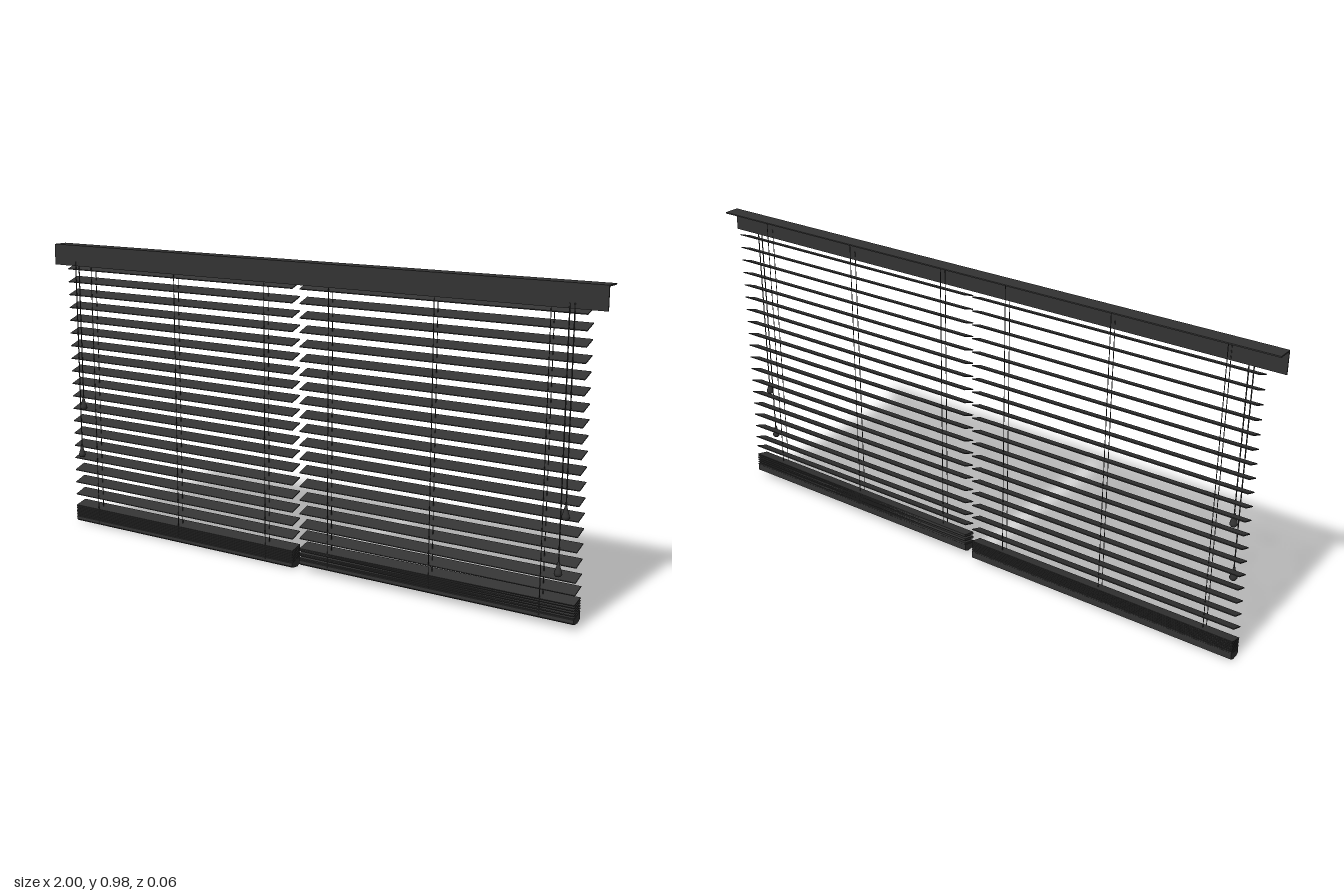
import * as THREE from 'three';

const mat = new THREE.MeshStandardMaterial({ color: 0x333333 });

function add(parent, name, geo, x = 0, y = 0, z = 0) {
  const mesh = new THREE.Mesh(geo, mat);
  mesh.name = name;
  mesh.position.set(x, y, z);
  parent.add(mesh);
  return mesh;
}

function cord(parent, name, x, z, bottom, top, r) {
  const h = top - bottom;
  add(parent, name, new THREE.CylinderGeometry(r, r, h, 6), x, bottom + h / 2, z);
}

export function createModel() {
  const model = new THREE.Group();
  model.name = 'doubleVenetianBlind';

  // L-shaped head rail: front valance and top board
  const rail = new THREE.Group();
  rail.name = 'headRail';
  add(rail, 'valance', new THREE.BoxGeometry(2, 0.07, 0.004), 0, 0.945, 0.018);
  add(rail, 'topBoard', new THREE.BoxGeometry(2, 0.004, 0.052), 0, 0.978, -0.006);
  model.add(rail);

  const width = 0.93, slatGeo = new THREE.BoxGeometry(width, 0.003, 0.046);
  const slatZ = -0.006, slatTilt = 0.34;

  // Bottom rail section with bevelled underside, extruded along x
  const section = new THREE.Shape([
    [-0.017, 0.007], [-0.012, 0.002], [0.012, 0], [0.028, 0.008], [0.028, 0.03], [-0.017, 0.018],
  ].map(([z, y]) => new THREE.Vector2(z, y)));
  const railGeo = new THREE.ExtrudeGeometry(section, { depth: width, bevelEnabled: false });
  railGeo.translate(0, 0, -width / 2).rotateY(Math.PI / 2);

  // Bell-shaped pull tassel
  const tasselGeo = new THREE.LatheGeometry([
    [0, -0.021], [0.008, -0.02], [0.012, -0.014], [0.011, -0.008], [0.006, 0.008], [0.003, 0.021], [0, 0.022],
  ].map(([r, y]) => new THREE.Vector2(r, y)), 14);

  const halves = [
    { name: 'rightBlind', x: -0.48, lift: 0, skew: 0, pulls: [[-0.906, 0.262], [-0.891, 0.434]] },
    { name: 'leftBlind', x: 0.477, lift: 0.016, skew: 0.006, pulls: [[0.906, 0.342], [0.891, 0.175]] },
  ];
  for (const { name, x, lift, skew, pulls } of halves) {
    const blind = new THREE.Group();
    blind.name = name;

    // Hanging slats, lower edge to the front
    for (let i = 0; i < 19; i++) {
      const y = 0.905 - i * 0.0444 + (i === 18 ? lift * 0.45 : 0);
      add(blind, 'slat', slatGeo, x, y, slatZ).rotation.x = slatTilt;
    }

    // Slats gathered on the bottom rail, some resting slightly askew
    for (let i = 0; i < 8; i++) {
      const slat = add(blind, 'stackedSlat', slatGeo, x, 0.027 + lift + i * 0.0052, slatZ);
      slat.rotation.set(0.24, 0, skew * Math.sin(i * 2.1));
    }
    add(blind, 'bottomRail', railGeo, x, lift, 0);

    // Front ladder cords and inner lift cords
    for (const dx of [-0.359, 0, 0.359]) {
      cord(blind, 'ladderCord', x + dx, 0.0165, 0.012 + lift, 0.975, 0.0012);
      cord(blind, 'liftCord', x + dx, -0.007, 0.012 + lift, 0.975, 0.0012);
    }

    // Pull cords with tassels
    for (const [px, py] of pulls) {
      cord(blind, 'pullCord', px, 0.0195, py + 0.015, 0.925, 0.0018);
      add(blind, 'tassel', tasselGeo, px, py, 0.0205);
    }
    model.add(blind);
  }
  return model;
}
